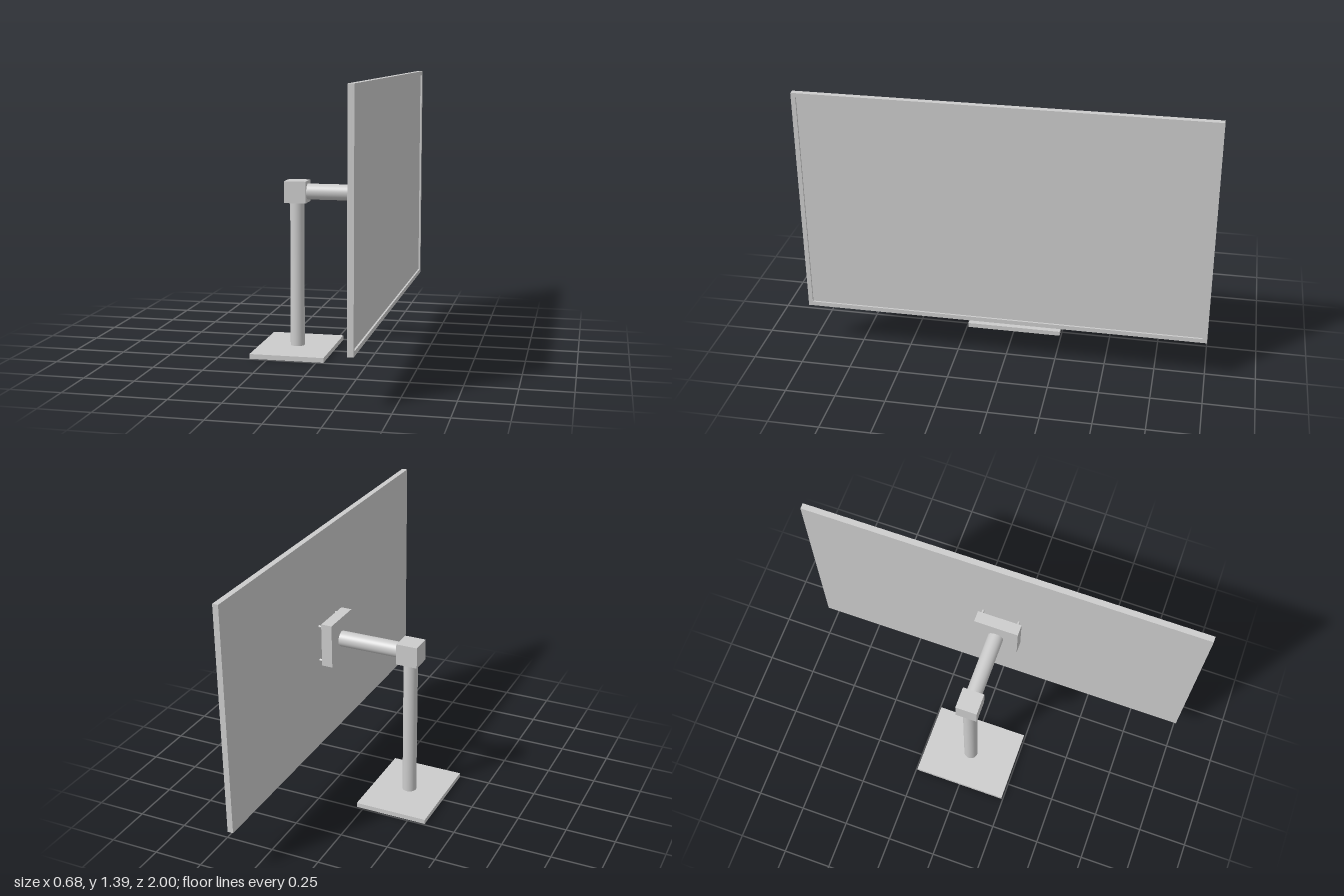
import * as THREE from 'three';

const material = new THREE.MeshStandardMaterial({ color: 0xcccccc });

export function createModel() {
  const model = new THREE.Group();

  const add = (name, geometry, x, y, z) => {
    const mesh = new THREE.Mesh(geometry, material);
    mesh.name = name;
    mesh.position.set(x, y, z);
    model.add(mesh);
    return mesh;
  };
  // Box given by its x and y limits, centred on z = 0
  const box = (name, x0, x1, y0, y1, depth) =>
    add(name, new THREE.BoxGeometry(x1 - x0, y1 - y0, depth), (x0 + x1) / 2, (y0 + y1) / 2, 0);
  // Cylinder lying along x
  const rod = (name, radius, x0, x1, y, z, sides) =>
    add(name, new THREE.CylinderGeometry(radius, radius, x1 - x0, sides).rotateZ(Math.PI / 2), (x0 + x1) / 2, y, z);

  // Stand: base plate, post, elbow block and horizontal arm
  box('base', -0.34, 0.036, 0, 0.024, 0.485);
  add('post', new THREE.CylinderGeometry(0.036, 0.036, 0.736, 48), -0.152, 0.392, 0);
  box('elbowBlock', -0.207, -0.097, 0.758, 0.868, 0.11);
  rod('arm', 0.04, -0.097, 0.226, 0.813, 0, 48);

  // Mounting plate with a spacer pin near each corner
  box('mountPlate', 0.226, 0.283, 0.7, 0.927, 0.227);
  for (const y of [0.718, 0.904])
    for (const z of [-0.093, 0.093]) rod('spacerPin', 0.006, 0.283, 0.306, y, z, 24);

  // Screen panel, set slightly behind the rim of the bezel
  const bottom = 0.236, top = 1.39, rim = 0.022;
  const backX = 0.306, panelX = 0.326, frontX = 0.335;
  box('screenPanel', backX, panelX, bottom, top, 2);

  // Bezel: a rectangular ring extruded towards +x
  const w = 1, h = (top - bottom) / 2;
  const rect = (a, b) => [[-a, -b], [a, -b], [a, b], [-a, b]].map(([x, y]) => new THREE.Vector2(x, y));
  const ring = new THREE.Shape(rect(w, h));
  ring.holes.push(new THREE.Path(rect(w - rim, h - rim).reverse()));
  const bezel = new THREE.ExtrudeGeometry(ring, { depth: frontX - panelX, bevelEnabled: false });
  bezel.rotateY(Math.PI / 2);
  add('bezel', bezel, panelX, (bottom + top) / 2, 0);

  return model;
}
